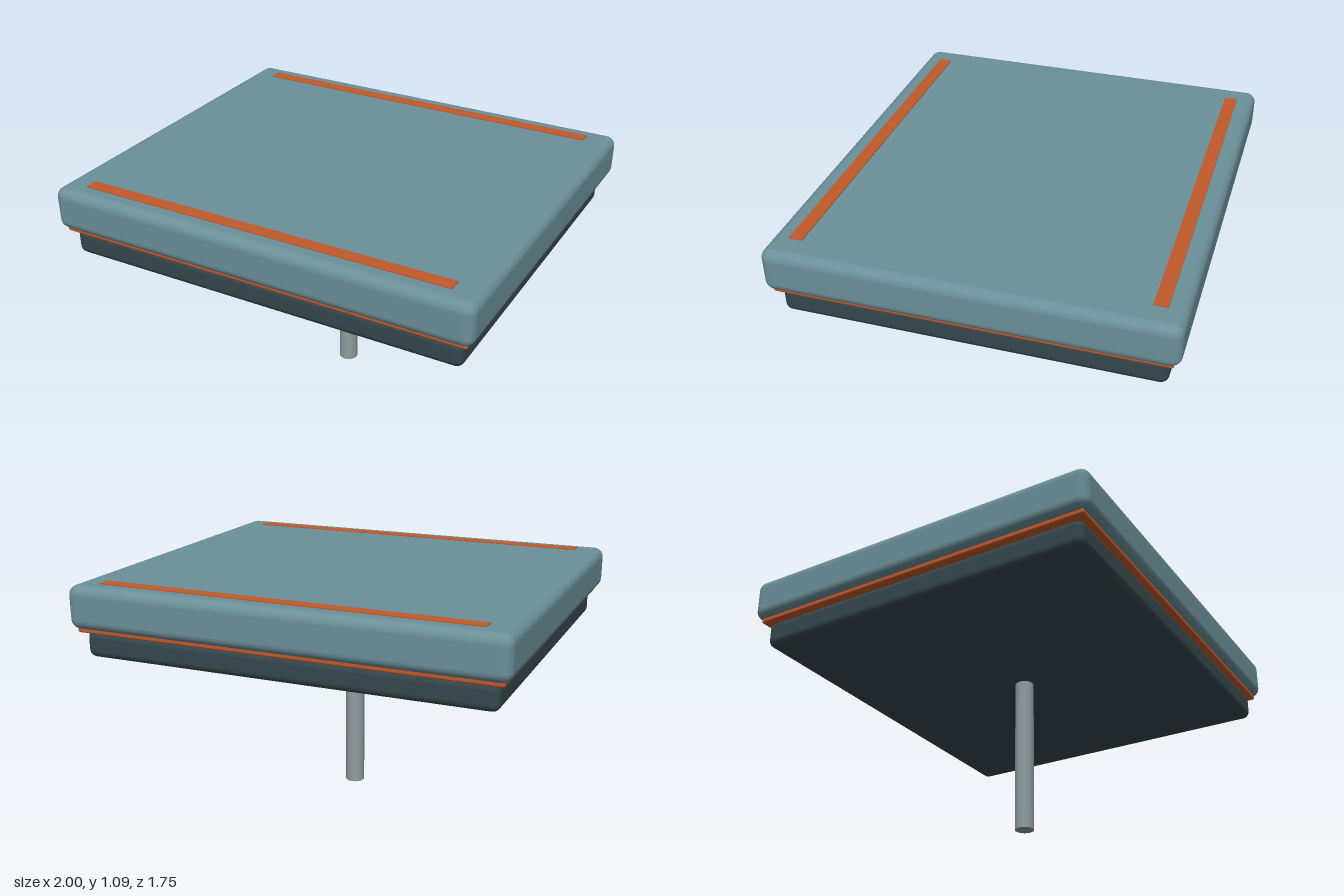
import * as THREE from 'three';
import { RoundedBoxGeometry } from 'three/addons/geometries/RoundedBoxGeometry.js';

export function createModel() {
  const model = new THREE.Group();
  model.name = 'seatOnPost';

  const paint = (color) => new THREE.MeshStandardMaterial({ color });
  const teal = paint(0x6b8f98);
  const dark = paint(0x35474c);
  const orange = paint(0xc0592b);
  const metal = paint(0x8f9c9c);

  function add(name, geometry, material, y, z = 0) {
    const mesh = new THREE.Mesh(geometry, material);
    mesh.name = name;
    mesh.position.set(0, y, z);
    model.add(mesh);
  }

  // Rounded slab spanning y0 to y1
  function slab(name, width, depth, y0, y1, radius, material) {
    const geometry = new RoundedBoxGeometry(width, y1 - y0, depth, 4, radius);
    add(name, geometry, material, (y0 + y1) / 2);
  }

  // Post
  add('post', new THREE.CylinderGeometry(0.045, 0.045, 0.76, 32), metal, 0.38);

  // Stacked base, piping and cushion
  slab('base', 1.89, 1.65, 0.755, 0.88, 0.035, dark);
  slab('piping', 1.94, 1.69, 0.873, 0.903, 0.008, orange);
  slab('cushion', 2, 1.75, 0.89, 1.088, 0.045, teal);

  // Trim strips along the front and back of the cushion
  for (const [name, side] of [['frontStrip', 1], ['backStrip', -1]]) {
    add(name, new THREE.BoxGeometry(1.75, 0.02, 0.06), orange, 1.082, side * 0.763);
  }

  return model;
}
